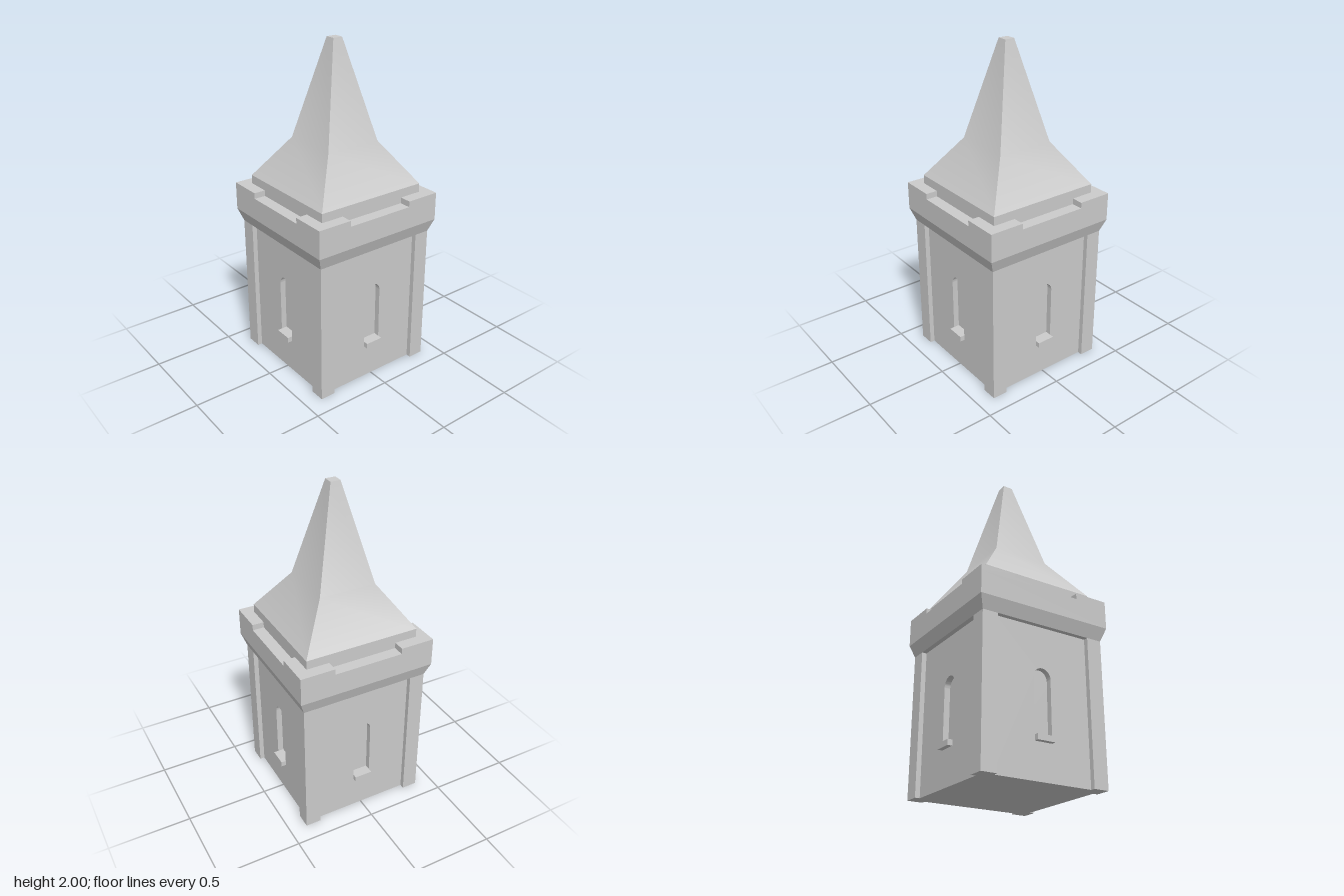
import * as THREE from 'three';
import { toCreasedNormals } from 'three/addons/utils/BufferGeometryUtils.js';

const material = new THREE.MeshStandardMaterial({ color: 0xcccccc });

const OUTER = 0.394;  // outer face of the corner pilasters
const WALL = 0.365;   // face of the wall panels
const CORE = 0.33;    // back of the window niches
const BAND = 0.422;   // outer face of the parapet

function add(parent, name, geometry, x = 0, y = 0, z = 0) {
  const mesh = new THREE.Mesh(geometry, material);
  mesh.name = name;
  mesh.position.set(x, y, z);
  parent.add(mesh);
  return mesh;
}

// Square tower section from [half width, height] pairs, bottom to top
function squareLoft(profile, crease) {
  const points = profile.map(([half, y]) => new THREE.Vector2(half * Math.SQRT2, y));
  return toCreasedNormals(new THREE.LatheGeometry(points, 4, Math.PI / 4), crease);
}

// Wall panel with an arched window opening
function panelGeometry() {
  const shape = new THREE.Shape();
  shape.moveTo(-0.31, 0).lineTo(0.31, 0).lineTo(0.31, 0.88).lineTo(-0.31, 0.88).closePath();
  const opening = new THREE.Path();
  opening.moveTo(-0.055, 0.21).lineTo(-0.055, 0.565);
  opening.absarc(0, 0.565, 0.055, Math.PI, 0, true);
  opening.lineTo(0.055, 0.21).closePath();
  shape.holes.push(opening);
  const geometry = new THREE.ExtrudeGeometry(shape, {
    depth: WALL - CORE, bevelEnabled: false, curveSegments: 12,
  });
  return toCreasedNormals(geometry, 0.5);
}

export function createModel() {
  const tower = new THREE.Group();
  tower.name = 'tower';

  // Body behind the wall panels
  add(tower, 'core', new THREE.BoxGeometry(CORE * 2, 0.9, CORE * 2), 0, 0.45, 0);

  // Four identical sides, each with a niche window and sill
  const panel = panelGeometry();
  const sillDepth = OUTER - CORE;
  const sill = new THREE.BoxGeometry(0.11, 0.033, sillDepth);
  for (let i = 0; i < 4; i++) {
    const side = new THREE.Group();
    side.name = 'wallSide';
    side.rotation.y = i * Math.PI / 2;
    add(side, 'wallPanel', panel, 0, 0, CORE);
    add(side, 'windowSill', sill, 0, 0.2265, CORE + sillDepth / 2);
    tower.add(side);
  }

  // Corner pilasters and raised parapet corners
  const pilasterWidth = OUTER - 0.3;
  const pilaster = new THREE.BoxGeometry(pilasterWidth, 0.88, pilasterWidth);
  const merlonWidth = BAND - 0.212;
  const merlon = new THREE.BoxGeometry(merlonWidth, 0.035, merlonWidth);
  for (const sx of [-1, 1]) {
    for (const sz of [-1, 1]) {
      const p = OUTER - pilasterWidth / 2;
      const m = BAND - merlonWidth / 2;
      add(tower, 'cornerPilaster', pilaster, sx * p, 0.44, sz * p);
      add(tower, 'parapetCorner', merlon, sx * m, 1.0925, sz * m);
    }
  }

  // Flared parapet band
  add(tower, 'parapet', squareLoft([
    [0, 0.862], [OUTER, 0.862], [BAND, 0.94], [BAND, 1.075], [0, 1.075],
  ], 0.1));

  // Spire roof with a soft bend halfway and a blunt tip
  add(tower, 'roof', squareLoft([
    [0.351, 1.07], [0.351, 1.163], [0.175, 1.415], [0.03, 2], [0, 2],
  ], 0.5));

  return tower;
}
